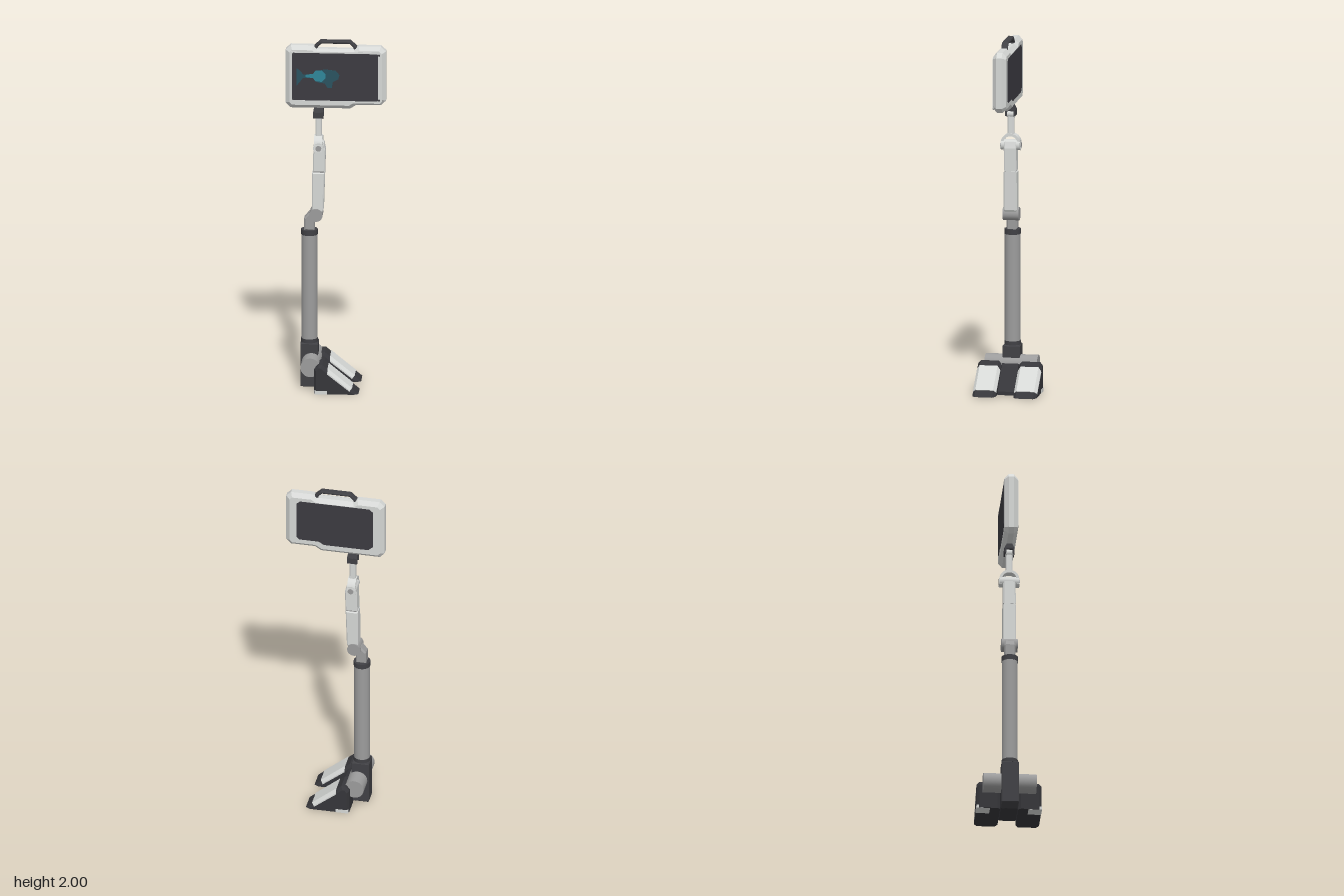
import * as THREE from 'three';
import { ConvexGeometry } from 'three/addons/geometries/ConvexGeometry.js';

const mat = (name, color) => {
  const m = new THREE.MeshStandardMaterial({ color });
  m.name = name;
  return m;
};

export function createModel() {
  const root = new THREE.Group();
  root.name = 'standingDisplay';
  const light = mat('lightShell', 0xd6d8d6);
  const grey = mat('midGrey', 0x9c9c9c);
  const dark = mat('darkGrey', 0x414145);
  const black = mat('footBlack', 0x36363a);
  const panel = mat('screenPanel', 0x3c3b41);
  const teal = mat('teal', 0x2f8799);
  const deepTeal = mat('deepTeal', 0x2a5360);

  const add = (name, geo, material, x = 0, y = 0, z = 0, parent = root) => {
    const m = new THREE.Mesh(geo, material);
    m.name = name;
    m.position.set(x, y, z);
    parent.add(m);
    return m;
  };
  const shape = (pts) => new THREE.Shape(pts.map(([x, y]) => new THREE.Vector2(x, y)));
  // Extrusion centred on z = 0, with an optional chamfer kept inside the outline
  const slab = (s, thick, bevel = 0) => {
    const g = new THREE.ExtrudeGeometry(s, {
      depth: thick - 2 * bevel, bevelEnabled: bevel > 0, bevelThickness: bevel,
      bevelSize: bevel, bevelOffset: -bevel, bevelSegments: 1, curveSegments: 16,
    });
    return g.translate(0, 0, -thick / 2 + bevel);
  };
  // Cylinder lying along z
  const axle = (r, len) => new THREE.CylinderGeometry(r, r, len, 32).rotateX(Math.PI / 2);
  // Rectangle with cut corners
  const cutRect = (x0, x1, y0, y1, c) => [
    [x0 + c, y0], [x1 - c, y0], [x1, y0 + c], [x1, y1 - c],
    [x1 - c, y1], [x0 + c, y1], [x0, y1 - c], [x0, y0 + c]];
  // Convex solid through flat outlines placed at given z
  const hull = (...sections) => new ConvexGeometry(
    sections.flatMap(([z, pts]) => pts.map(([x, y]) => new THREE.Vector3(x, y, z))));

  // Base block, toe wedge and ankle axle
  const CX = -0.147;
  add('baseBlock', slab(shape(cutRect(-0.195, -0.097, 0, 0.25, 0.005)), 0.096, 0.004), dark);
  add('toeWedge', slab(shape([[-0.11, 0], [0.055, 0], [0.055, 0.02], [-0.06, 0.14], [-0.11, 0.17]]), 0.094), black);
  add('ankleAxle', axle(0.054, 0.295), grey, -0.133, 0.141, 0);

  // Feet: chamfered wedges with a light top plate
  const outer = [[-0.11, 0], [0.135, 0], [0.13, 0.005], [-0.065, 0.165], [-0.088, 0.165], [-0.11, 0.14]];
  const inset = [[-0.098, 0], [0.11, 0], [0.106, 0.004], [-0.074, 0.148], [-0.085, 0.148], [-0.098, 0.13]];
  const plateOuter = [[-0.038, 0.1375], [-0.036, 0.146], [0.1, 0.0345], [0.096, 0.0285]];
  const plateInset = [[-0.038, 0.115], [-0.036, 0.123], [0.088, 0.0235], [0.086, 0.017]];
  for (const side of [1, -1]) {
    const foot = new THREE.Group();
    foot.name = side > 0 ? 'frontFoot' : 'backFoot';
    root.add(foot);
    const z = [0.05, 0.065, 0.165, 0.18].map((v) => v * side);
    add('footBody', hull([z[0], inset], [z[1], outer], [z[2], outer], [z[3], inset]), black, 0, 0, 0, foot);
    add('footPlate', hull([z[0] * 0.99, plateInset], [z[1], plateOuter], [z[2], plateOuter], [z[3] * 1.003, plateInset]),
      light, 0, 0, 0, foot);
    add('solePad', new THREE.BoxGeometry(0.07, 0.02, 0.075), light, -0.072, 0.0095, 0.144 * side, foot);
  }

  // Column with dark collars
  const ring = (name, r, y0, y1, m) =>
    add(name, new THREE.CylinderGeometry(r, r, y1 - y0, 40), m, CX, (y0 + y1) / 2, 0);
  ring('lowerCollar', 0.046, 0.25, 0.272, dark);
  ring('column', 0.044, 0.27, 0.875, grey);
  ring('upperCollar', 0.046, 0.873, 0.902, dark);

  // Elbow and lower joint
  add('elbow', slab(shape([[-0.175, 0.9], [-0.118, 0.9], [-0.118, 0.965], [-0.095, 0.975],
    [-0.1, 1.01], [-0.145, 1.005], [-0.175, 0.97]]), 0.06, 0.008), grey);
  add('lowerJoint', axle(0.037, 0.09), grey, -0.109, 0.993, 0);

  // Arm
  const armLow = [[-0.132, 1.0], [-0.08, 1.0], [-0.068, 1.02], [-0.061, 1.238], [-0.13, 1.238]];
  const armHigh = [[-0.127, 1.24], [-0.06, 1.24], [-0.057, 1.37], [-0.067, 1.405], [-0.115, 1.41], [-0.123, 1.39]];
  add('lowerArm', slab(shape(armLow), 0.074, 0.006), light);
  add('upperArm', slab(shape(armHigh), 0.07, 0.006), light);
  add('armSeam', new THREE.BoxGeometry(0.058, 0.012, 0.062), grey, -0.095, 1.239, 0);

  // Upper joint: arched clevis over the arm top, with hub pins
  const arch = new THREE.Shape();
  arch.moveTo(0.057, 1.365);
  arch.lineTo(0.057, 1.395);
  arch.absarc(0, 1.395, 0.055, 0, Math.PI, false);
  arch.lineTo(-0.057, 1.365);
  arch.lineTo(-0.042, 1.365);
  arch.lineTo(-0.042, 1.395);
  arch.absarc(0, 1.395, 0.04, Math.PI, 0, true);
  arch.lineTo(0.042, 1.365);
  add('clevis', slab(arch, 0.046).rotateY(Math.PI / 2), light, -0.096, 0, 0);
  add('upperHub', axle(0.03, 0.108), light, -0.094, 1.385, 0);
  add('hubPin', axle(0.016, 0.116), grey, -0.094, 1.385, 0);

  // Slim link and screen swivel
  add('slimLink', slab(shape([[-0.114, 1.44], [-0.078, 1.44], [-0.08, 1.57], [-0.112, 1.57]]), 0.036, 0.006), light);
  add('swivelBall', axle(0.021, 0.044), light, -0.096, 1.56, 0);
  for (const side of [1, -1])
    add('swivelFork', new THREE.BoxGeometry(0.058, 0.034, 0.01), dark, -0.096, 1.568, 0.023 * side);
  add('swivelNeck', hull([0.026, [[-0.125, 1.578], [-0.067, 1.578], [-0.067, 1.586], [-0.125, 1.586]]],
    [-0.026, [[-0.125, 1.578], [-0.067, 1.578], [-0.067, 1.586], [-0.125, 1.586]]],
    [0.012, [[-0.12, 1.616], [-0.072, 1.616]]], [-0.012, [[-0.12, 1.616], [-0.072, 1.616]]]), dark);

  // Screen casing: notched under the handle, stepped along the bottom
  const casing = [[-0.252, 1.61], [0.08, 1.61], [0.115, 1.632], [0.25, 1.632], [0.278, 1.66], [0.278, 1.945],
    [0.25, 1.972], [0.125, 1.972], [0.1, 1.954], [-0.1, 1.954], [-0.125, 1.972], [-0.25, 1.972],
    [-0.278, 1.945], [-0.278, 1.638]];
  add('casing', slab(shape(casing), 0.074, 0.022), light);

  // Front display with rim and corner screws
  const rim = shape(cutRect(-0.256, 0.256, 1.648, 1.943, 0.01));
  rim.holes.push(new THREE.Path(cutRect(-0.24, 0.236, 1.66, 1.935, 0.006).map(([x, y]) => new THREE.Vector2(x, y))));
  add('displayRim', slab(rim, 0.006), light, 0, 0, 0.037);
  add('frontDisplay', slab(shape(cutRect(-0.241, 0.237, 1.659, 1.936, 0.006)), 0.004), panel, 0, 0, 0.037);
  for (const x of [-0.235, 0.241])
    for (const y of [1.667, 1.928])
      add('screw', axle(0.006, 0.006), dark, x, y, 0.039);

  // Back panel
  add('backPanel', slab(shape([[-0.19, 1.662], [0.06, 1.662], [0.09, 1.68], [0.2, 1.68], [0.216, 1.696],
    [0.216, 1.912], [0.196, 1.93], [-0.196, 1.93], [-0.216, 1.912], [-0.216, 1.685]]), 0.004), panel, 0, 0, -0.037);

  // Painted graphic on the display
  const decal = (name, pts, m, z) => add(name, slab(shape(pts), 0.002), m, 0, 0, z);
  decal('graphicTail', [[-0.215, 1.745], [-0.195, 1.77], [-0.18, 1.79], [-0.11, 1.79], [-0.11, 1.81],
    [-0.18, 1.81], [-0.195, 1.83], [-0.215, 1.845]], deepTeal, 0.0395);
  decal('graphicShade', [[-0.1, 1.765], [-0.06, 1.76], [-0.045, 1.735], [-0.02, 1.735], [-0.015, 1.77], [0.015, 1.785],
    [0.022, 1.81], [0, 1.835], [-0.06, 1.842], [-0.1, 1.83]], deepTeal, 0.0395);
  decal('graphicBody', [[-0.165, 1.795], [-0.125, 1.79], [-0.11, 1.77], [-0.075, 1.77], [-0.055, 1.79],
    [-0.055, 1.812], [-0.075, 1.835], [-0.11, 1.835], [-0.125, 1.815], [-0.165, 1.808]], teal, 0.0405);

  // Carrying handle
  add('handle', slab(shape([[-0.12, 1.95], [-0.12, 1.967], [-0.085, 2], [0.082, 2], [0.117, 1.967], [0.117, 1.95],
    [0.098, 1.95], [0.098, 1.962], [0.076, 1.983], [-0.079, 1.983], [-0.101, 1.962], [-0.101, 1.95]]), 0.036, 0.005), dark);

  return root;
}
